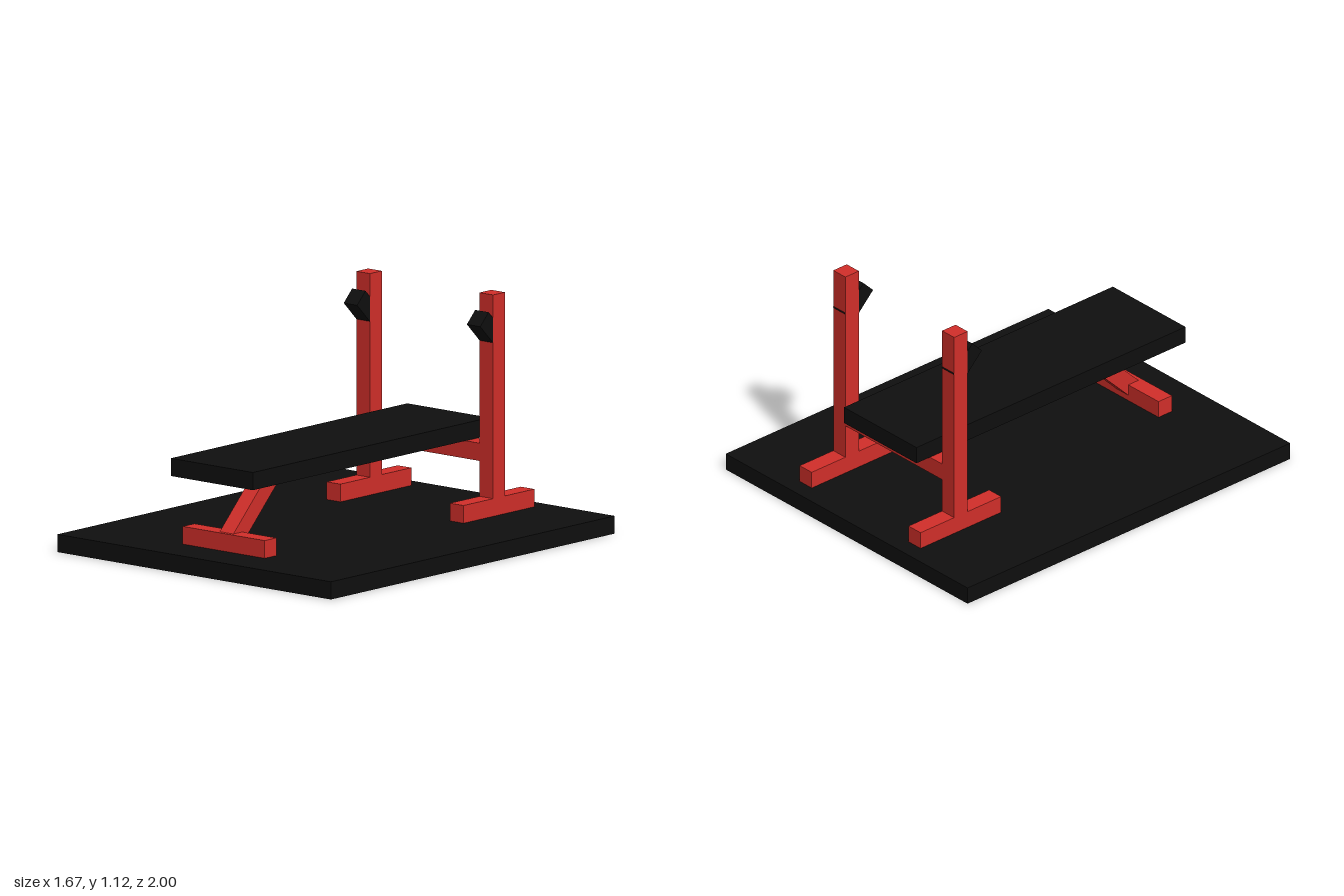
import * as THREE from 'three';

const U = 1 / 12; // tube thickness, the module of the whole design

export function createModel() {
  const model = new THREE.Group();
  model.name = 'weightBench';
  const red = new THREE.MeshStandardMaterial({ color: 0xd32f2a });
  const black = new THREE.MeshStandardMaterial({ color: 0x0f0f0f });

  // Box by size and centre, optionally tilted about x
  function box(name, material, size, centre, tilt = 0) {
    const mesh = new THREE.Mesh(new THREE.BoxGeometry(...size), material);
    mesh.name = name;
    mesh.position.set(...centre);
    mesh.rotation.x = tilt;
    model.add(mesh);
  }

  const postX = 4.5 * U;
  const postZ = -8 * U;

  // Floor platform and bench pad
  box('platform', black, [20 * U, U, 24 * U], [0, U / 2, 0]);
  box('benchPad', black, [6 * U, U, 20 * U], [0, 5.5 * U, U / 2]);

  // Uprights with their feet and tilted bar hooks
  for (const [side, s] of [['left', 1], ['right', -1]]) {
    box(side + 'Foot', red, [U, U, 6 * U], [s * postX, 1.5 * U, postZ]);
    box(side + 'Upright', red, [U, 11.5 * U, U], [s * postX, 7.75 * U, postZ]);
    box(side + 'BarHook', black, [U - 0.002, U, 2 * U], [s * postX, 0.96, -0.624], -Math.PI / 4);
  }

  // Crossbar carrying the rear of the pad
  box('crossbar', red, [8 * U, U, U], [0, 4.5 * U, postZ]);

  // Front foot and the slanted leg up to the pad
  box('frontFoot', red, [6 * U, U, U], [0, 1.5 * U, 9 * U]);
  box('frontLeg', red, [U, 0.467, U], [0, 0.29, 0.589], -Math.PI / 4);

  return model;
}
